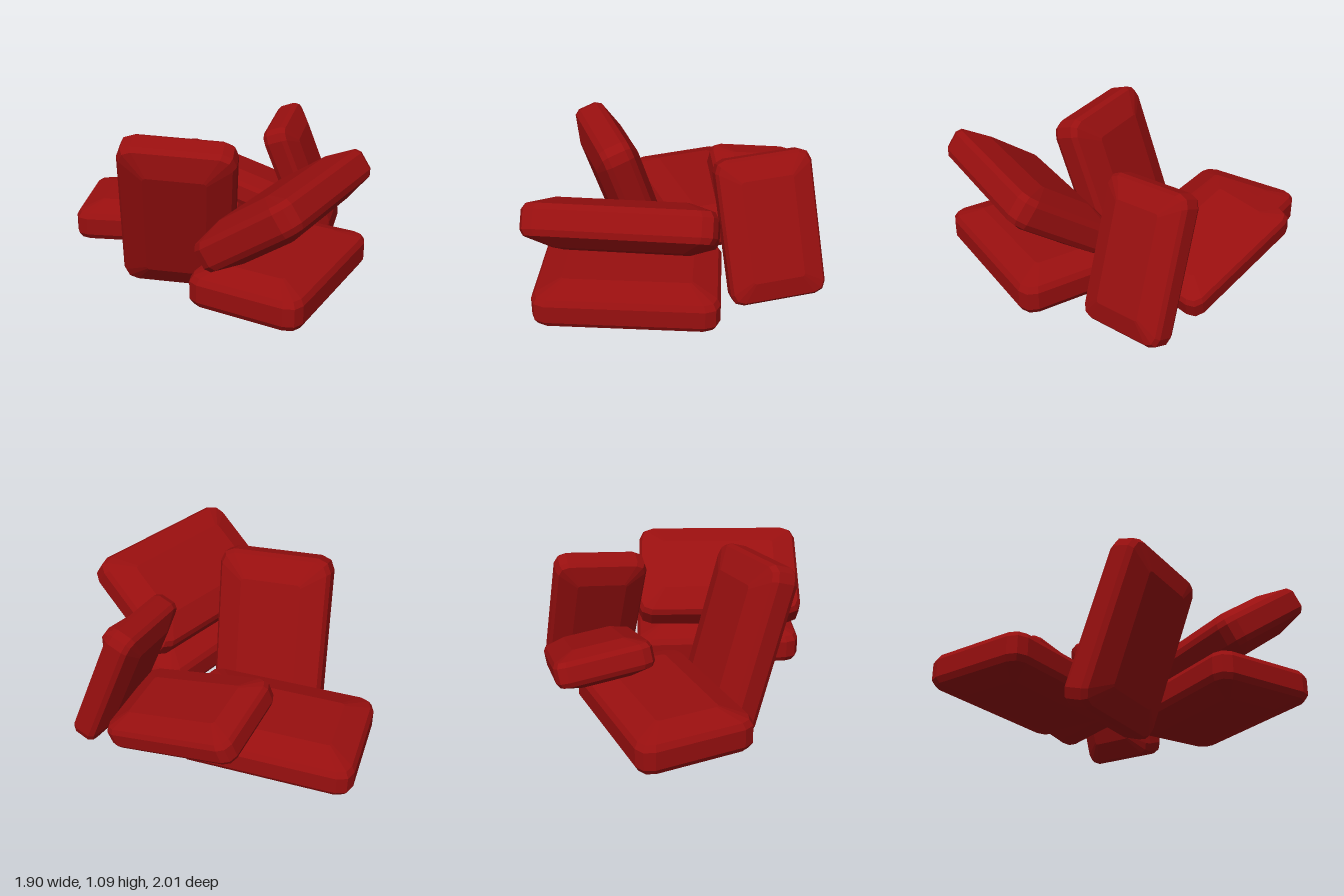
import * as THREE from 'three';

const brickRed = new THREE.MeshStandardMaterial({ color: 0x980f0f, flatShading: true });
brickRed.name = 'brick red';

const HALF_LENGTH = 0.54, HALF_WIDTH = 0.355;

// One rounded-rectangle outline at height y, counter-clockwise seen from above
function outline(y, inset, radius) {
  const a = HALF_LENGTH - inset - radius, b = HALF_WIDTH - inset - radius;
  const corners = [[1, 1], [-1, 1], [-1, -1], [1, -1]];
  const points = [];
  corners.forEach(([sx, sz], c) => {
    for (let k = 0; k <= 2; k++) {
      const t = (c + k / 2) * Math.PI / 2;
      points.push([sx * a + radius * Math.cos(t), y, -(sz * b + radius * Math.sin(t))]);
    }
  });
  return points;
}

// Pillow-edged brick lofted through stacked outlines: [height, inset, corner radius]
function brickGeometry() {
  const half = [[0.055, 0, 0.085], [0.09, 0.02, 0.075], [0.14, 0.165, 0.02]];
  const levels = [...half.map(([y, i, r]) => [-y, i, r]).reverse(), ...half];
  const rings = levels.map(l => outline(...l));
  const n = rings[0].length, positions = [];
  const tri = (...p) => p.forEach(v => positions.push(...v));
  for (let i = 0; i < n; i++) {
    const j = (i + 1) % n;
    for (let k = 0; k < rings.length - 1; k++) {
      const lo = rings[k], hi = rings[k + 1];
      tri(lo[i], lo[j], hi[j]);
      tri(lo[i], hi[j], hi[i]);
    }
    const top = rings[rings.length - 1], bottom = rings[0];
    tri([0, 0.14, 0], top[i], top[j]);
    tri([0, -0.14, 0], bottom[j], bottom[i]);
  }
  const geometry = new THREE.BufferGeometry();
  geometry.setAttribute('position', new THREE.Float32BufferAttribute(positions, 3));
  geometry.computeVertexNormals();
  return geometry;
}

export function createModel() {
  const group = new THREE.Group();
  group.name = 'brickPile';
  const geometry = brickGeometry();

  // Place a brick by its centre, the direction of its length and of its width
  function addBrick(name, centre, length, width, scale = 1) {
    const x = new THREE.Vector3(...length).normalize();
    const z = new THREE.Vector3(...width);
    z.addScaledVector(x, -z.dot(x)).normalize();
    const y = new THREE.Vector3().crossVectors(z, x);
    const mesh = new THREE.Mesh(geometry, brickRed);
    mesh.name = name;
    mesh.quaternion.setFromRotationMatrix(new THREE.Matrix4().makeBasis(x, y, z));
    mesh.position.set(...centre);
    mesh.scale.setScalar(scale);
    group.add(mesh);
  }

  // Bricks lying flat
  addBrick('flatBackBrick', [-0.42, 0.295, -0.42], [1, 0, 0.005], [0, 0, 1]);
  addBrick('flatFrontBrick', [0.425, 0.295, 0.37], [0.39, 0, -0.92], [0.92, 0, 0.39]);
  // Bricks leaning on the pile
  addBrick('tiltedTopBrick', [0.445, 0.695, 0.402], [0.42, 0, -0.907], [0.743, 0.574, 0.344]);
  addBrick('uprightFrontBrick', [-0.22, 0.533, 0.185], [0.05, 0.948, 0.317], [1, -0.05, 0]);
  // Smaller bricks at the back
  addBrick('uprightBackBrick', [0.525, 0.567, -0.475], [-0.36, 0.93, 0.02], [0.16, 0.08, -1], 0.82);
  addBrick('slopingBackBrick', [0.045, 0.475, -0.645], [-0.935, 0.29, -0.2], [-0.2, 0.14, 0.97], 0.82);

  return group;
}
